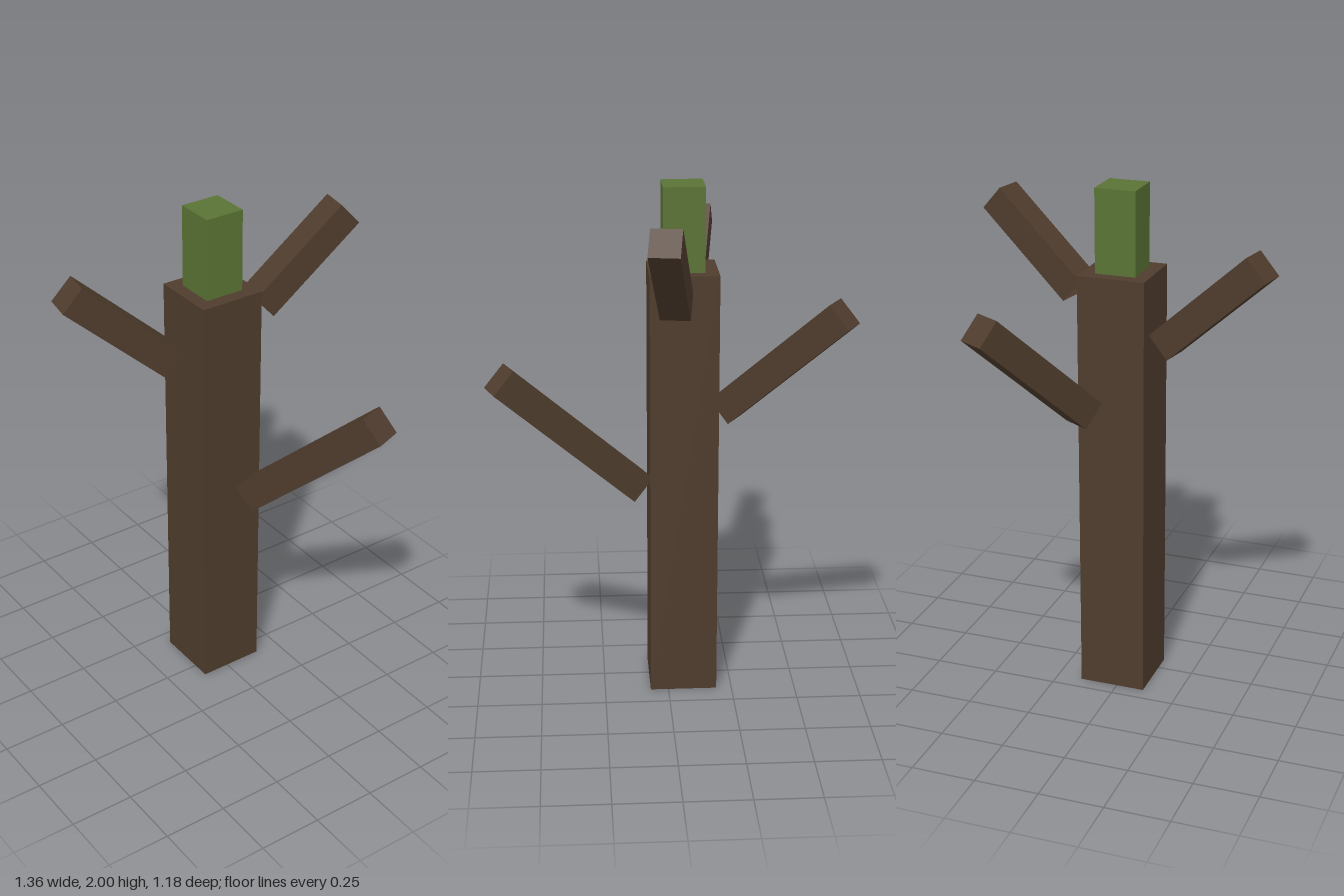
import * as THREE from 'three';

// Square beam along y, centred, with no face at its lower end
function openBeam(width, length) {
  const geo = new THREE.BoxGeometry(width, length, width);
  const index = Array.from(geo.index.array);
  index.splice(18, 6); // drop the underside
  geo.setIndex(index);
  geo.clearGroups();
  return geo;
}

export function createModel() {
  const bark = new THREE.MeshStandardMaterial({ color: 0x4f3c2d, side: THREE.DoubleSide });
  bark.name = 'bark brown';
  const leaf = new THREE.MeshStandardMaterial({ color: 0x5a7335, side: THREE.DoubleSide });
  leaf.name = 'shoot green';

  const model = new THREE.Group();
  model.name = 'bareTree';
  const add = (name, geo, mat, x, y, z) => {
    const mesh = new THREE.Mesh(geo, mat);
    mesh.name = name;
    mesh.position.set(x, y, z);
    model.add(mesh);
    return mesh;
  };

  // Trunk and the green shoot on top
  add('trunk', openBeam(0.26, 1.68), bark, -0.06, 0.84, -0.02);
  add('topShoot', openBeam(0.157, 0.32), leaf, -0.06, 1.84, -0.02);

  // Branches: name, length, heading around y in degrees (0 = +x), centre
  const branches = [
    ['frontBranch', 0.524, -100, -0.122, 1.598, 0.35],
    ['backBranch', 0.47, 80, 0.005, 1.739, -0.376],
    ['leftBranch', 0.736, 20, 0.37, 1.09, -0.179],
    ['rightBranch', 0.629, 150, -0.418, 1.372, -0.232],
  ];
  const rise = THREE.MathUtils.degToRad(42);
  for (const [name, length, heading, x, y, z] of branches) {
    const branch = add(name, openBeam(0.114, length), bark, x, y, z);
    branch.rotation.set(0, THREE.MathUtils.degToRad(heading), rise - Math.PI / 2, 'YZX');
  }
  return model;
}
